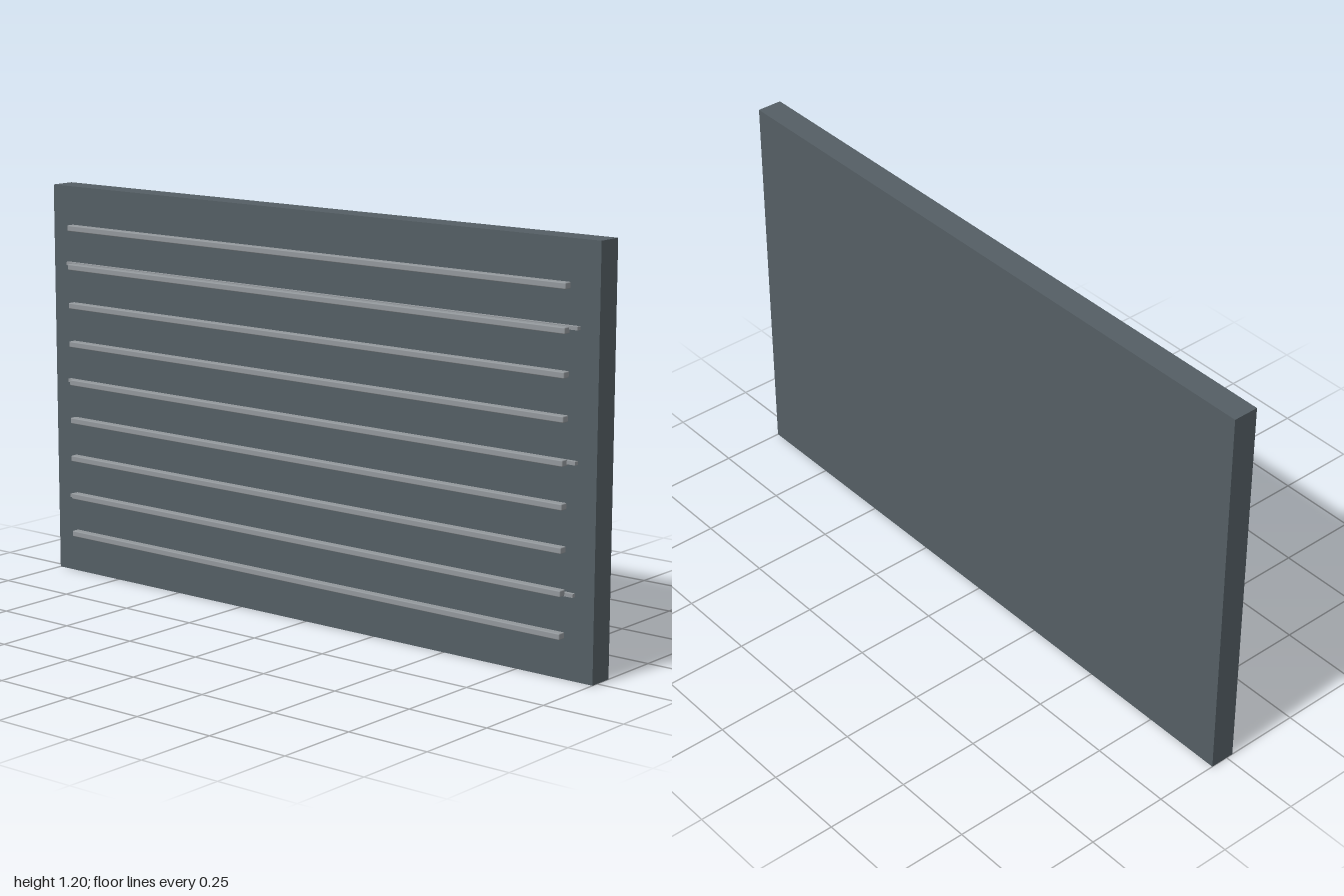
import * as THREE from 'three';
import { RoundedBoxGeometry } from 'three/addons/geometries/RoundedBoxGeometry.js';

export function createModel() {
  const model = new THREE.Group();
  model.name = 'slattedPanel';

  const panelMat = new THREE.MeshStandardMaterial({ color: 0x545e64 });
  const slatMat = new THREE.MeshStandardMaterial({ color: 0x92979b });

  const add = (name, geometry, material, y, z) => {
    const mesh = new THREE.Mesh(geometry, material);
    mesh.name = name;
    mesh.position.set(0, y, z);
    model.add(mesh);
  };

  // Flat backing panel
  add('panel', new THREE.BoxGeometry(2, 1.2, 0.077), panelMat, 0.6, -0.0165);

  // Nine evenly spaced slats with softened edges, held just off the panel
  const slatGeo = new RoundedBoxGeometry(1.825, 0.018, 0.025, 2, 0.003);
  for (let i = 0; i < 9; i++) {
    add(`slat${i + 1}`, slatGeo, slatMat, 0.126 + i * 0.1188, 0.0435);
  }

  // Three thin rails bridging the gap between panel and slats
  const railGeo = new THREE.BoxGeometry(1.878, 0.01, 0.015);
  [0.24, 0.602, 0.964].forEach((y, i) => add(`rail${i + 1}`, railGeo, slatMat, y, 0.0275));

  return model;
}
